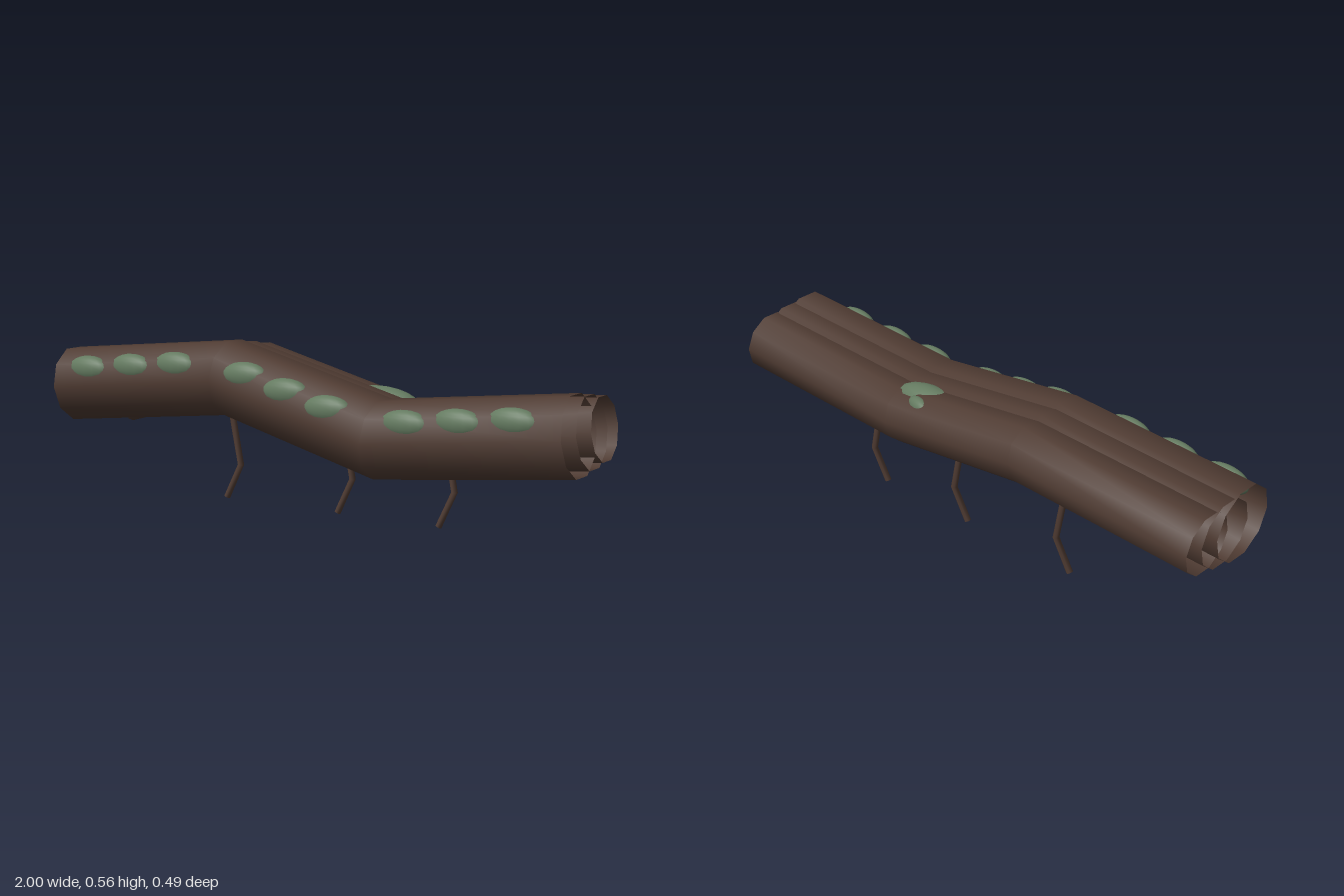
import * as THREE from 'three';

const bark = new THREE.MeshStandardMaterial({ color: 0x4f3b32, side: THREE.DoubleSide });
bark.name = 'bark';
const moss = new THREE.MeshStandardMaterial({ color: 0x647a60 });
moss.name = 'moss';

const V = (x, y, z) => new THREE.Vector3(x, y, z);

// Mitred tube through the points; the section starts with a corner towards +z.
function mitredTube(points, radii, sides, capped) {
  const pos = [], index = [];
  const n = points.length;
  const addRing = (i) => {
    const start = pos.length / 3;
    const t = V(0, 0, 0);
    if (i > 0) t.add(points[i].clone().sub(points[i - 1]).normalize());
    if (i < n - 1) t.add(points[i + 1].clone().sub(points[i]).normalize());
    t.normalize();
    const side = V(0, 0, 1).addScaledVector(t, -t.z).normalize();
    const up = side.clone().cross(t);
    for (let j = 0; j < sides; j++) {
      const a = (j / sides) * Math.PI * 2;
      const p = points[i].clone()
        .addScaledVector(side, Math.cos(a) * radii[i])
        .addScaledVector(up, Math.sin(a) * radii[i]);
      pos.push(p.x, p.y, p.z);
    }
    return start;
  };
  for (let i = 0; i < n; i++) addRing(i);
  for (let i = 0; i < n - 1; i++) {
    for (let j = 0; j < sides; j++) {
      const k = (j + 1) % sides;
      const a = i * sides + j, b = a + sides, c = i * sides + k, d = c + sides;
      index.push(a, b, c, b, d, c);
    }
  }
  // Separate rings keep the cap edges sharp
  if (capped) {
    for (const end of [0, n - 1]) {
      const s = addRing(end);
      for (let j = 1; j < sides - 1; j++) {
        if (end === 0) index.push(s, s + j, s + j + 1);
        else index.push(s, s + j + 1, s + j);
      }
    }
  }
  const g = new THREE.BufferGeometry();
  g.setAttribute('position', new THREE.Float32BufferAttribute(pos, 3));
  g.setIndex(index);
  g.computeVertexNormals();
  return g;
}

function add(parent, name, geometry, material) {
  const mesh = new THREE.Mesh(geometry, material);
  mesh.name = name;
  parent.add(mesh);
  return mesh;
}

function mossBlob(parent, name, centre, size) {
  const blob = add(parent, name, new THREE.SphereGeometry(1, 16, 12), moss);
  blob.position.copy(centre);
  blob.scale.copy(size);
  return blob;
}

export function createModel() {
  const model = new THREE.Group();
  model.name = 'mossyLog';

  // Three overlapping hollow trunks, thinner towards the back
  for (let k = 0; k < 3; k++) {
    const trunk = new THREE.Group();
    trunk.name = 'trunk' + (k + 1);
    model.add(trunk);
    const z = 0.07 - 0.0825 * k;
    const path = [
      V(-0.987, 0.368, z),
      V(-0.329, 0.434, z - 0.046),
      V(0.329, 0.302, z + 0.046),
      V(0.987, 0.368, z),
    ];
    const r = 0.13 * (1 - 0.1 * k);
    add(trunk, 'barkTube', mitredTube(path, [r, r, r, r], 10, false), bark);

    // Three moss cushions along each straight stretch
    for (let s = 0; s < 3; s++) {
      for (let m = 0; m < 3; m++) {
        const c = path[s].clone().lerp(path[s + 1], 0.205 + 0.275 * m);
        c.add(V(0, 0.055, 0.09));
        mossBlob(trunk, 'mossCushion', c, V(0.09, 0.045, 0.035));
      }
    }
  }

  // Moss patch on the upper back
  mossBlob(model, 'mossPatch', V(0.2, 0.38, -0.055), V(0.155, 0.06, 0.062));
  mossBlob(model, 'smallMossPatch', V(0.2, 0.394, -0.115), V(0.06, 0.03, 0.025)).rotation.y = -0.25;

  // Bent twigs underneath
  for (const x of [-0.37, 0.09, 0.48]) {
    const twig = [V(x - 0.025, 0.285, -0.057), V(x, 0.12, -0.068), V(x - 0.05, 0.005, -0.055)];
    add(model, 'twig', mitredTube(twig, [0.011, 0.011, 0.011], 8, true), bark);
  }

  // Broken branch stub below the right end
  const stub = [V(-0.62, 0.315, -0.06), V(-0.85, 0.262, -0.06)];
  add(model, 'branchStub', mitredTube(stub, [0.022, 0.032], 8, true), bark);

  return model;
}
